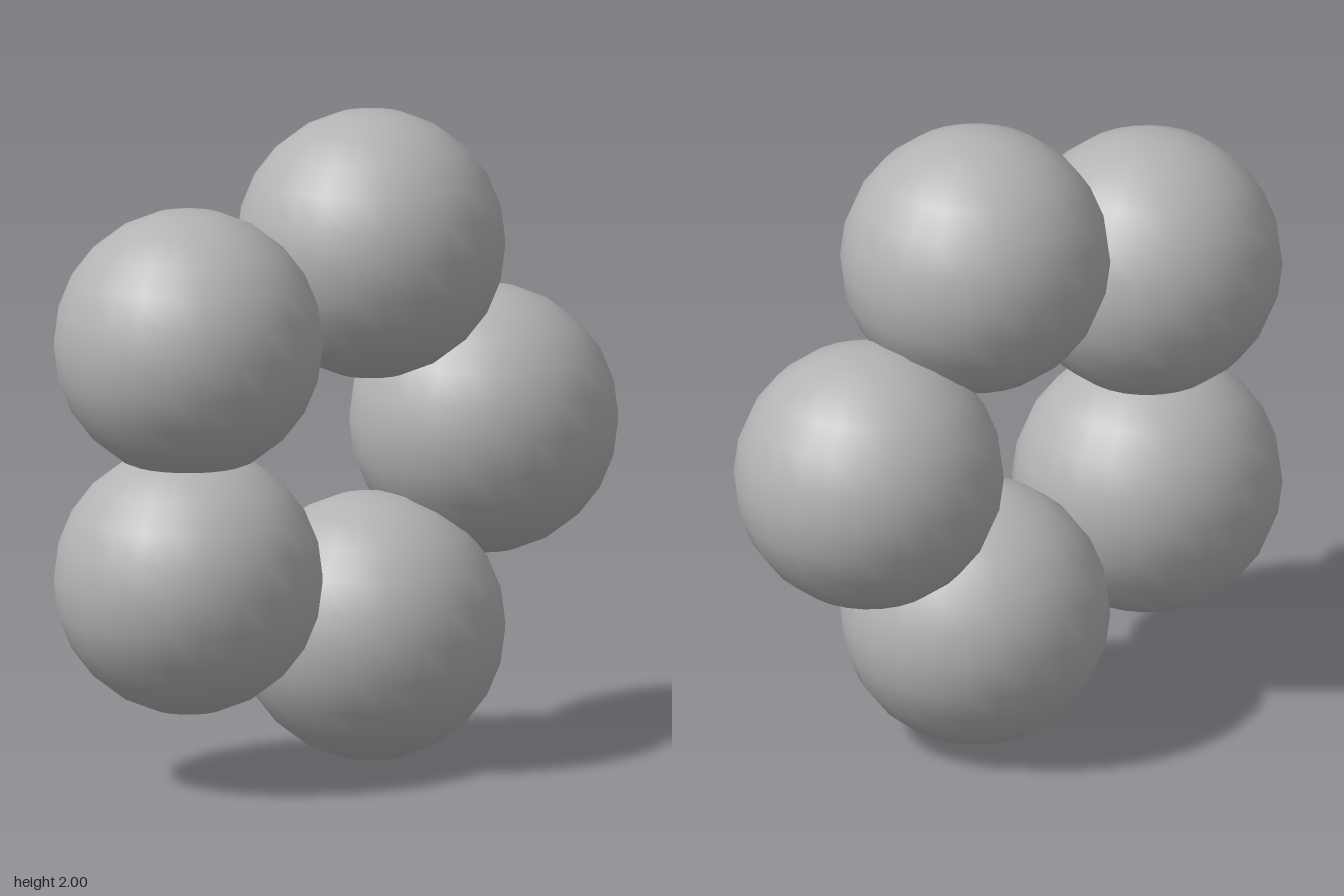
import * as THREE from 'three';

export function createModel() {
  const group = new THREE.Group();
  group.name = 'sphereRing';

  const grey = new THREE.MeshStandardMaterial({ color: 0xb3b3b3 });
  grey.name = 'grey';

  const count = 5;
  const ringRadius = 0.62;
  const ballRadius = 0.41;
  const centre = new THREE.Vector2(-0.06, 1);
  const ball = new THREE.SphereGeometry(ballRadius, 24, 12);

  // Five overlapping balls in an upright ring, the first one pointing to +x
  for (let i = 0; i < count; i++) {
    const angle = (i / count) * Math.PI * 2;
    const mesh = new THREE.Mesh(ball, grey);
    mesh.name = `ball${i + 1}`;
    mesh.position.set(
      centre.x + ringRadius * Math.cos(angle),
      centre.y + ringRadius * Math.sin(angle),
      0
    );
    group.add(mesh);
  }
  return group;
}
